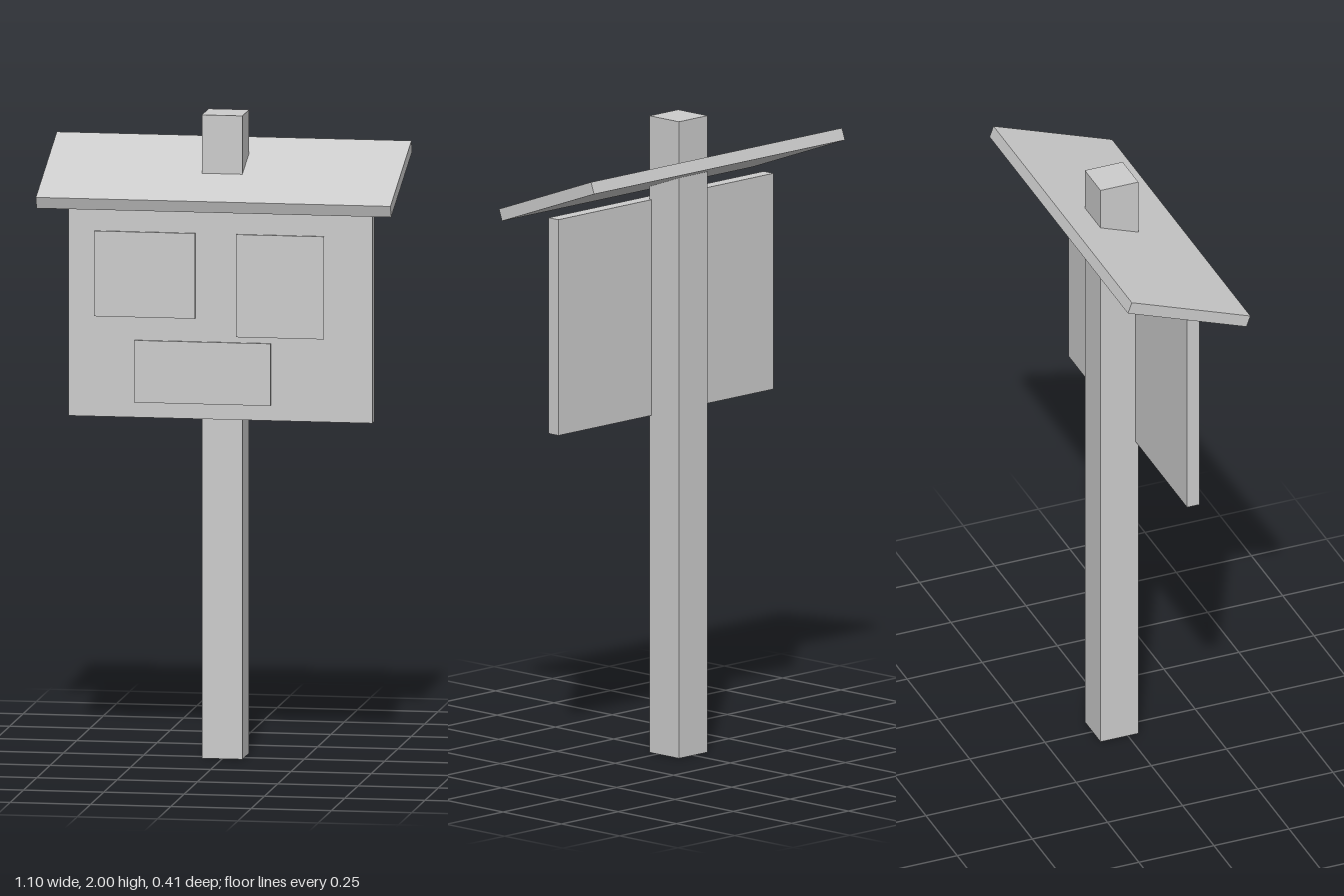
import * as THREE from 'three';

const grey = new THREE.MeshStandardMaterial({ color: 0xcccccc });
grey.name = 'light grey';

// Box given by its min and max along each axis
function box(name, [x0, x1], [y0, y1], [z0, z1]) {
  const mesh = new THREE.Mesh(new THREE.BoxGeometry(x1 - x0, y1 - y0, z1 - z0), grey);
  mesh.position.set((x0 + x1) / 2, (y0 + y1) / 2, (z0 + z1) / 2);
  mesh.name = name;
  return mesh;
}

export function createModel() {
  const model = new THREE.Group();
  model.name = 'noticeBoard';

  // Square post, running up through the roof
  model.add(box('post', [-0.063, 0.063], [0, 2], [-0.091, 0.035]));

  // Board let into the front of the post
  model.add(box('board', [-0.473, 0.473], [1.06, 1.738], [0.026, 0.068]));

  // Roof plank sloping down to the front
  const roof = box('roof', [-0.552, 0.552], [1.792, 1.83], [-0.21, 0.21]);
  roof.rotation.x = THREE.MathUtils.degToRad(20);
  model.add(roof);

  // Pinned notices: x range, y range
  const notices = [
    [[-0.392, -0.078], [1.372, 1.637]],
    [[0.05, 0.323], [1.318, 1.637]],
    [[-0.267, 0.157], [1.107, 1.3]],
  ];
  notices.forEach(([x, y], i) => model.add(box(`notice${i + 1}`, x, y, [0.067, 0.075])));

  return model;
}
